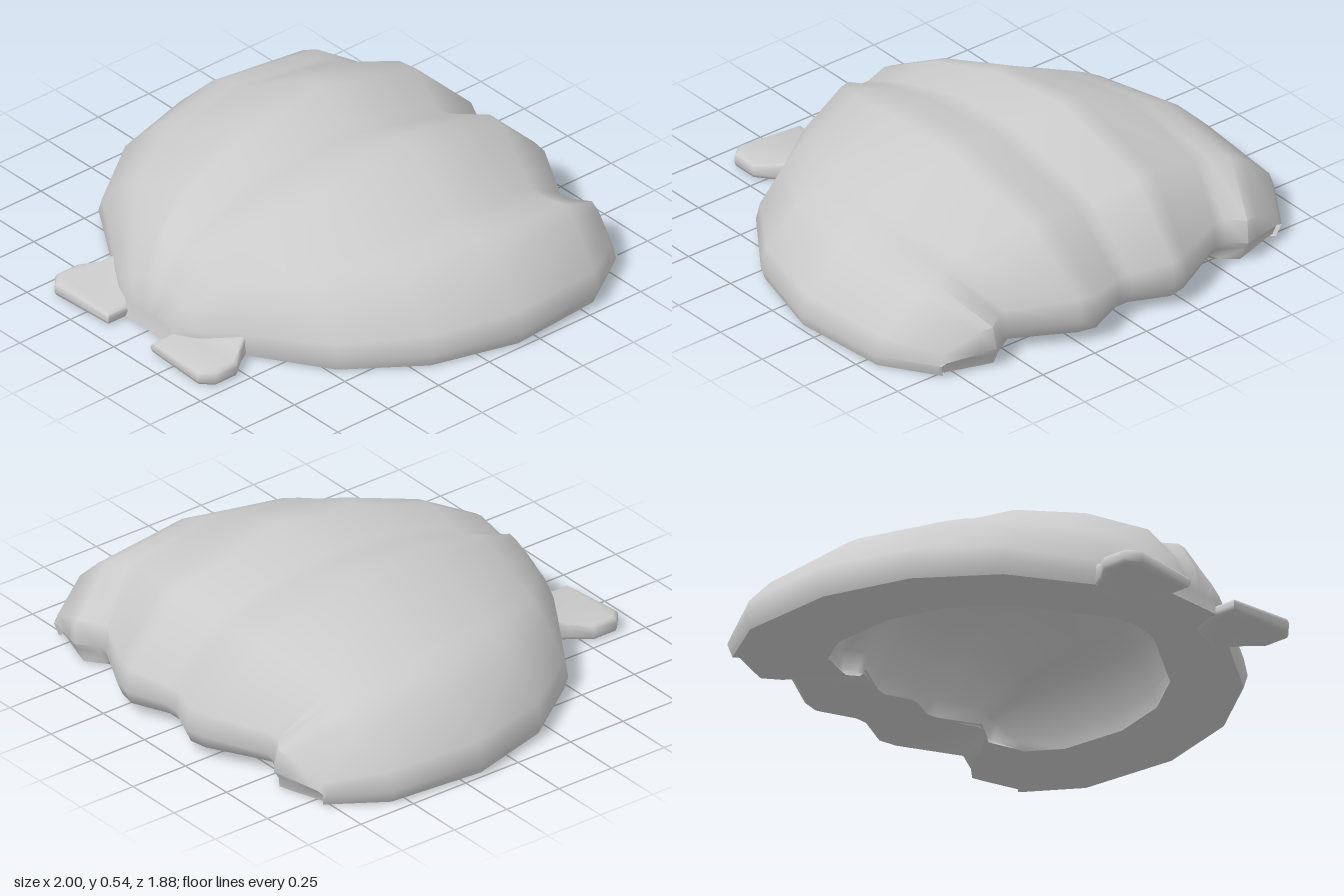
import * as THREE from 'three';
import { toCreasedNormals } from 'three/addons/utils/BufferGeometryUtils.js';

const material = new THREE.MeshStandardMaterial({ color: 0xcccccc });

// Fan lines of one half, centre to rim: [widest x, peak height, back end z]
const FAN = [
  [0.04, 0.48, -0.88], [0.22, 0.545, -0.945], [0.31, 0.535, -0.93],
  [0.6, 0.388, -0.8], [0.66, 0.37, -0.805], [0.74, 0.342, -0.857],
  [0.81, 0.3, -0.84], [0.97, 0.14, -0.795], [1, 0.06, -0.79],
];
// Steps from hinge to back lip: [fraction of length, of height, of width, extra height at the sides]
const STEPS = [
  [0, 0.02, 0.12, 0], [0, 0.08, 0.13, 0], [0.023, 0.29, 0.23, 0], [0.08, 0.57, 0.39, 0],
  [0.19, 0.76, 0.69, 0], [0.36, 0.94, 0.9, 0], [0.58, 1, 1, 0], [0.847, 0.77, 0.965, 0.18],
  [0.99, 0.27, 0.83, 0.28], [1, 0.1, 0.82, 0], [0.985, -0.02, 0.82, 0],
];
const HINGE_Z = 0.82, RIM_Y = 0.06;
const R = STEPS.length, C = FAN.length * 2;

// Point grids (row by row, right to left) for the outside, the hollow and the lower edge
function shellGrids() {
  const lines = FAN.map((f, i) => ({ f, i }));
  const columns = [
    ...lines.map((l) => ({ ...l, side: -1 })).reverse(),
    ...lines.map((l) => ({ ...l, side: 1 })),
  ];
  const outer = [], inner = [], lip = [];
  STEPS.forEach(([s, h, w, extra], r) => {
    for (const { f: [X, H, endZ], i, side } of columns) {
      const x = side * X * w;
      const y = RIM_Y + (H - RIM_Y) * (h + extra * X * X);
      const z = HINGE_Z - (s + 0.13 * X * s * (1 - s)) * (HINGE_Z - endZ);
      // The two middle lobes rise off the ground at the back
      const lift = r === R - 1 && i <= 3 ? 0.035 : 0;
      outer.push([x, y, z]);
      inner.push([x * 0.66, Math.max(0.01, 0.01 + (y - RIM_Y) * 0.85) + lift, -0.05 + (z + 0.05) * 0.66]);
      lip.push([x * 0.98, 0.008 + lift, z * (r < 2 ? 1.015 : 0.985)]);
    }
  });
  return { outer, inner, lip };
}

// Grid indices once around the edge, counter-clockwise from above
function edgeLoop() {
  const edge = [];
  for (let c = 0; c < C; c++) edge.push(c);
  for (let r = 1; r < R; r++) edge.push(r * C + C - 1);
  for (let c = C - 2; c >= 0; c--) edge.push((R - 1) * C + c);
  for (let r = R - 2; r > 0; r--) edge.push(r * C);
  return edge;
}

// Surface from two point lists, joined by quads of indices
function surface(points, quads) {
  const geometry = new THREE.BufferGeometry();
  geometry.setAttribute('position', new THREE.Float32BufferAttribute(points.flat(), 3));
  geometry.setIndex(quads.flatMap(([a, b, c, d]) => [a, b, d, b, c, d]));
  return toCreasedNormals(geometry, 1);
}

function gridQuads(flip) {
  const quads = [];
  for (let r = 0; r < R - 1; r++) {
    for (let c = 0; c < C - 1; c++) {
      const a = r * C + c, d = a + C;
      quads.push(flip ? [a, d, d + 1, a + 1] : [a, a + 1, d + 1, d]);
    }
  }
  return quads;
}

// Band between the edges of two grids, the second list following the first
function bandQuads() {
  const edge = edgeLoop(), n = R * C;
  return edge.map((a, i) => {
    const b = edge[(i + 1) % edge.length];
    return [a, a + n, b + n, b];
  });
}

// Flat bevelled ear beside the hinge, its top rising into the shell
function earGeometry(side) {
  const outline = [
    [0.14, 0.8], [0.14, 0.905], [0.405, 0.92], [0.443, 0.885],
    [0.443, 0.79], [0.39, 0.725], [0.34, 0.64], [0.18, 0.7],
  ];
  const shape = new THREE.Shape(outline.map(([x, z]) => new THREE.Vector2(side * x, -z)));
  const geometry = new THREE.ExtrudeGeometry(shape, {
    depth: 0.015, bevelThickness: 0.02, bevelSize: 0.018, bevelSegments: 2,
  });
  geometry.rotateX(-Math.PI / 2);
  geometry.translate(0, 0.022, 0);
  const p = geometry.attributes.position;
  for (let i = 0; i < p.count; i++) {
    const x = Math.abs(p.getX(i)), y = p.getY(i), z = p.getZ(i);
    if (y < 0.03) continue;
    const slope = 0.04 * (x - 0.3);
    p.setY(i, y + slope + 0.5 * Math.max(0, 0.75 - z));
  }
  return toCreasedNormals(geometry, 1);
}

export function createModel() {
  const model = new THREE.Group();
  model.name = 'scallopShell';
  const part = (name, geometry) => {
    const mesh = new THREE.Mesh(geometry, material);
    mesh.name = name;
    model.add(mesh);
  };
  const { outer, inner, lip } = shellGrids();
  part('ribbedShell', surface([...outer, ...lip], [...gridQuads(false), ...bandQuads()]));
  part('underside', surface([...lip, ...inner], bandQuads()));
  part('hollow', surface(inner, gridQuads(true)));
  part('leftEar', earGeometry(1));
  part('rightEar', earGeometry(-1));
  return model;
}
